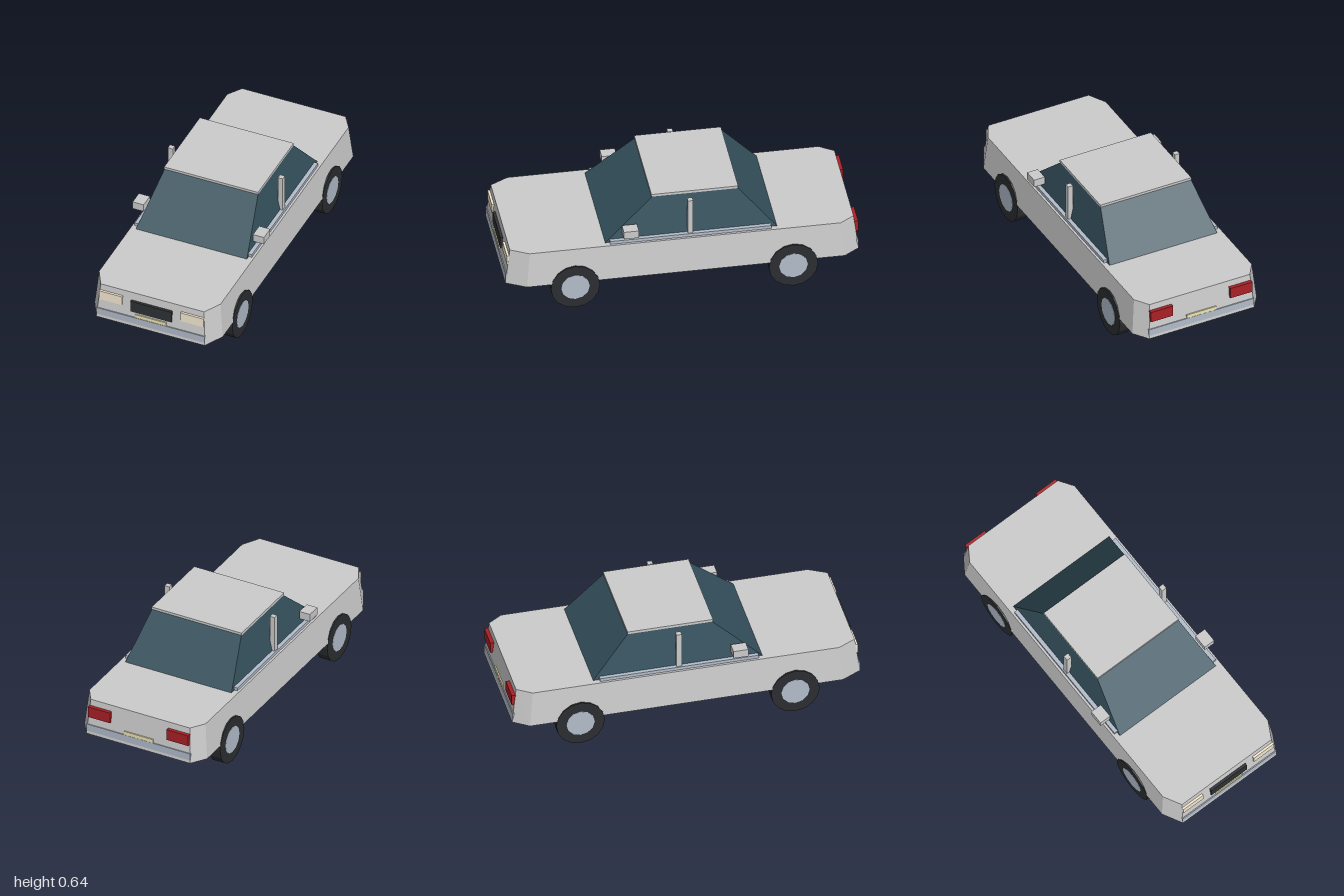
import * as THREE from 'three';
import { ConvexGeometry } from 'three/addons/geometries/ConvexGeometry.js';

const mat = (color) => new THREE.MeshStandardMaterial({ color, flatShading: true });

export function createModel() {
  const car = new THREE.Group();
  car.name = 'sedan';
  const paint = mat(0xcccccc), glass = mat(0x35515d), chrome = mat(0xb2bcca);
  const tyreMat = mat(0x2a2d30), black = mat(0x1c1d1f), grilleMat = mat(0x2e3235);
  const lamp = mat(0xf6ead2), red = mat(0xaa2026), plateMat = mat(0xeee6b4);

  const add = (name, geometry, material, parent = car) => {
    const mesh = new THREE.Mesh(geometry, material);
    mesh.name = name;
    parent.add(mesh);
    return mesh;
  };
  // Box given by its minimum and maximum on each axis
  const box = (name, material, [x0, x1], [y0, y1], [z0, z1]) => {
    const mesh = add(name, new THREE.BoxGeometry(x1 - x0, y1 - y0, z1 - z0), material);
    mesh.position.set((x0 + x1) / 2, (y0 + y1) / 2, (z0 + z1) / 2);
    return mesh;
  };
  // Mirrored pair of boxes
  const pair = (name, material, [x0, x1], y, z) => {
    box(name + 'Left', material, [x0, x1], y, z);
    box(name + 'Right', material, [-x1, -x0], y, z);
  };
  // Mirrored ring of half-outline points [x, z] at height y
  const ring = (y, outline) => outline.flatMap(([x, z]) =>
    [new THREE.Vector3(x, y, z), new THREE.Vector3(-x, y, z)]);

  // Lower body with chamfered corners, tapering upwards
  add('body', new ConvexGeometry([
    ...ring(0.17, [[0.33, 0.998], [0.39, 0.885], [0.39, -0.91], [0.33, -0.998]]),
    ...ring(0.383, [[0.315, 0.97], [0.37, 0.868], [0.37, -0.89], [0.315, -0.972]]),
  ]), paint);
  box('underbody', black, [-0.37, 0.37], [0.157, 0.175], [-0.81, 0.81]);

  // Glass cabin and roof
  add('cabinGlass', new ConvexGeometry([
    ...ring(0.383, [[0.338, 0.435], [0.338, -0.535]]),
    ...ring(0.632, [[0.284, 0.158], [0.284, -0.323]]),
  ]), glass);
  box('roof', paint, [-0.286, 0.286], [0.63, 0.645], [-0.325, 0.165]);

  // Side trim, door pillars and mirrors
  pair('windowSill', chrome, [0.325, 0.357], [0.375, 0.402], [-0.5, 0.41]);
  pair('doorPillar', paint, [0.32, 0.35], [0.385, 0.622], [-0.06, -0.03]);
  pair('mirror', paint, [0.333, 0.4], [0.44, 0.487], [0.255, 0.34]);

  // Front end
  box('frontBumper', chrome, [-0.33, 0.33], [0.187, 0.23], [0.96, 0.996]);
  box('grille', grilleMat, [-0.125, 0.125], [0.264, 0.335], [0.95, 0.992]);
  box('frontPlate', plateMat, [-0.093, 0.093], [0.225, 0.252], [0.96, 0.994]);
  pair('headlight', lamp, [0.178, 0.319], [0.288, 0.346], [0.95, 0.988]);

  // Rear end
  box('rearBumper', chrome, [-0.33, 0.33], [0.187, 0.23], [-0.996, -0.96]);
  box('rearPlate', plateMat, [-0.093, 0.093], [0.225, 0.252], [-0.995, -0.96]);
  pair('taillight', red, [0.18, 0.319], [0.28, 0.346], [-0.998, -0.95]);

  // Wheels: tyre plus hub disc
  for (const [end, z] of [['front', 0.612], ['rear', -0.62]]) {
    for (const [side, s] of [['Left', 1], ['Right', -1]]) {
      const wheel = new THREE.Group();
      wheel.name = end + 'Wheel' + side;
      wheel.position.set(s * 0.355, 0.139, z);
      wheel.rotation.z = -s * Math.PI / 2;
      add('tyre', new THREE.CylinderGeometry(0.139, 0.139, 0.07, 16), tyreMat, wheel);
      add('hub', new THREE.CylinderGeometry(0.081, 0.081, 0.073, 12), chrome, wheel);
      car.add(wheel);
    }
  }
  return car;
}
